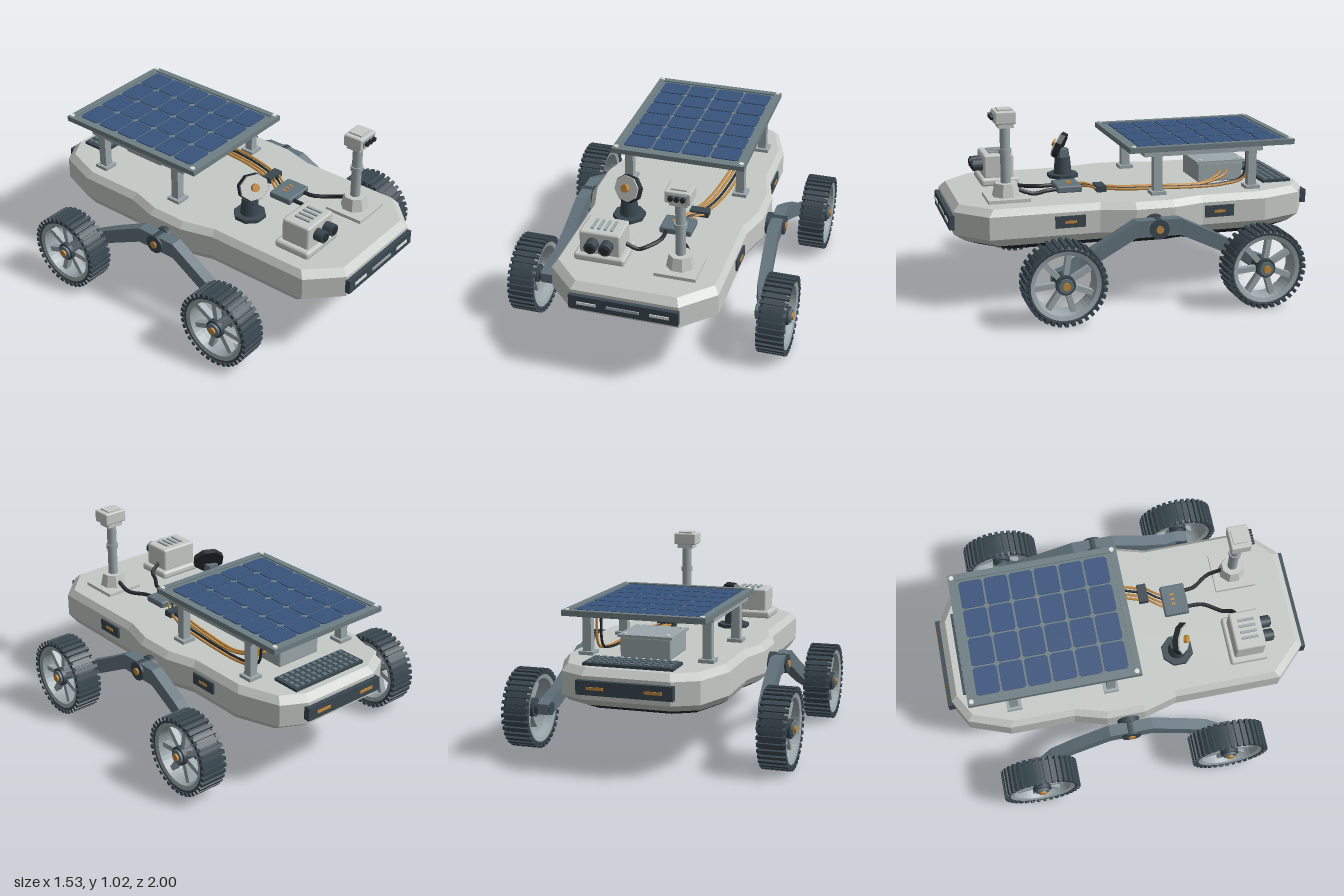
import * as THREE from 'three';
import { RoundedBoxGeometry } from 'three/addons/geometries/RoundedBoxGeometry.js';

const paint = (name, color, extra = {}) => Object.assign(new THREE.MeshStandardMaterial({ color, ...extra }), { name });
const M = {
  hull: paint('warm grey shell', 0xc6cac6),
  metal: paint('pale metal', 0x9ca8ac),
  slate: paint('slate arm', 0x62737c),
  frame: paint('panel frame grey', 0x6e7e83),
  dark: paint('dark slate', 0x3a4850),
  black: paint('near black', 0x252b2f),
  blue: paint('solar blue', 0x38537c),
  orange: paint('copper orange', 0xc48a3c),
  light: paint('lamp white', 0xdde2de),
};

const V = (x, y, z) => new THREE.Vector3(x, y, z);
function add(parent, name, geo, mat, x = 0, y = 0, z = 0) {
  const m = new THREE.Mesh(geo, mat);
  m.name = name;
  m.position.set(x, y, z);
  parent.add(m);
  return m;
}
function group(parent, name, x = 0, y = 0, z = 0) {
  const g = new THREE.Group();
  g.name = name;
  g.position.set(x, y, z);
  parent.add(g);
  return g;
}
// Box from minimum and maximum corners
function span(parent, name, mat, [x0, x1], [y0, y1], [z0, z1], r = 0) {
  const s = [x1 - x0, y1 - y0, z1 - z0];
  const geo = r ? new RoundedBoxGeometry(...s, 1, r) : new THREE.BoxGeometry(...s);
  return add(parent, name, geo, mat, (x0 + x1) / 2, (y0 + y1) / 2, (z0 + z1) / 2);
}
function cyl(r0, r1, h, n = 20, axis = 'y') {
  const g = new THREE.CylinderGeometry(r0, r1, h, n);
  if (axis === 'x') g.rotateZ(-Math.PI / 2);
  if (axis === 'z') g.rotateX(Math.PI / 2);
  return n > 8 ? g : facet(g);
}
function facet(g) {
  const f = g.toNonIndexed();
  f.computeVertexNormals();
  return f;
}
// Flat faceted skin through equal-length rings, with optional end caps
function loft(rings, capStart = true, capEnd = true) {
  const pts = [], n = rings[0].length;
  for (let i = 0; i + 1 < rings.length; i++) for (let j = 0; j < n; j++) {
    const k = (j + 1) % n, a = rings[i][j], b = rings[i][k], c = rings[i + 1][k], d = rings[i + 1][j];
    pts.push(a, b, c, a, c, d);
  }
  const cap = (ring, flip) => {
    const mid = ring.reduce((s, p) => s.add(p), V(0, 0, 0)).divideScalar(n);
    ring.forEach((p, j) => { const q = ring[(j + 1) % n]; pts.push(mid, flip ? q : p, flip ? p : q); });
  };
  if (capStart) cap(rings[0], true);
  if (capEnd) cap(rings[rings.length - 1], false);
  const g = new THREE.BufferGeometry().setFromPoints(pts);
  g.computeVertexNormals();
  return g;
}
function cable(parent, name, mat, r, pts) {
  const curve = new THREE.CatmullRomCurve3(pts.map(p => V(...p)));
  add(parent, name, new THREE.TubeGeometry(curve, 32, r, 7), mat);
}

function buildHull(root) {
  const g = group(root, 'hull');
  const half = [[.28, .97], [.44, .81], [.44, .23], [.49, .05], [.49, -.16], [.44, -.33], [.44, -.68], [.36, -.9], [.23, -.97]];
  const outline = [...half, ...half.map(([x, z]) => [-x, z]).reverse()];
  const ring = (y, sx, sz) => outline.map(([x, z]) => V(x * sx, y, z * sz));
  const low = ring(.345, .95, .94);
  add(g, 'shell', loft([low, ring(.385, 1, 1), ring(.505, 1, 1), ring(.54, .94, .965)], false, true), M.hull);
  add(g, 'belly', loft([ring(.312, .83, .86), low], true, false), M.black);
  // Bumpers with lamps
  span(g, 'frontBumper', M.dark, [-.285, .285], [.41, .487], [.96, .993]);
  [[-.24, -.14, M.light], [-.085, .085, M.metal], [.14, .24, M.light]].forEach(([a, b, m]) =>
    span(g, 'frontLamp', m, [a, b], [.441, .456], [.992, .998]));
  span(g, 'rearBumper', M.dark, [-.25, .25], [.415, .487], [-.995, -.96]);
  for (const x of [-.15, .15]) span(g, 'rearLamp', M.orange, [x - .045, x + .045], [.443, .458], [-1, -.994]);
  // Side markers on the left flank
  for (const z of [.39, -.42]) {
    span(g, 'sideMarker', M.dark, [.43, .451], [.425, .487], [z - .08, z + .08]);
    span(g, 'sideLamp', M.orange, [.45, .455], [.449, .463], [z - .03, z + .03]);
  }
  // Rear vent grille
  span(g, 'ventPlate', M.dark, [-.22, .25], [.538, .555], [-.9, -.74]);
  for (let r = 0; r < 4; r++) for (let c = 0; c < 12; c++)
    add(g, 'ventFin', new THREE.BoxGeometry(.022, .008, .022), M.slate, -.192 + c * .038, .558, -.877 + r * .038);
}

function buildWheel(root, s, z) {
  const g = group(root, 'wheel', s * .68, .212, z);
  const lathe = pts => new THREE.LatheGeometry(pts.map(p => new THREE.Vector2(...p)), 40).rotateZ(-Math.PI / 2);
  add(g, 'tyre', facet(lathe([[.174, -.066], [.19, -.07], [.2, -.055], [.2, .055], [.19, .07], [.174, .066], [.174, -.066]])), M.dark);
  add(g, 'rim', facet(lathe([[.158, -.062], [.18, -.068], [.18, .068], [.158, .062], [.15, .02], [.15, -.02], [.158, -.062]])), M.metal);
  for (let i = 0; i < 36; i++) {
    const a = i / 36 * Math.PI * 2;
    add(g, 'tread', new THREE.BoxGeometry(.148, .02, .019), M.dark, 0, Math.cos(a) * .202, Math.sin(a) * .202).rotation.x = a;
  }
  for (let i = 0; i < 7; i++) {
    const a = i / 7 * Math.PI * 2 - .15;
    add(g, 'spoke', new THREE.BoxGeometry(.035, .12, .028), M.metal, s * .02, Math.cos(a) * .1, Math.sin(a) * .1).rotation.x = a;
  }
  add(g, 'hub', cyl(.05, .05, .09, 20, 'x'), M.dark, s * .015);
  add(g, 'hubRing', cyl(.037, .037, .02, 20, 'x'), M.slate, s * .062);
  add(g, 'hubCap', cyl(.02, .02, .02, 12, 'x'), M.orange, s * .073);
  add(g, 'axle', cyl(.035, .035, .12, 16, 'x'), M.dark, s * -.06);
}

function buildSuspension(root, s) {
  const g = group(root, s > 0 ? 'leftSuspension' : 'rightSuspension');
  // Rocker arm: x, y, z, half height
  const path = [[.597, .212, .525, .028], [.597, .222, .455, .042], [.572, .262, .385, .042], [.56, .33, .25, .042], [.55, .425, .075, .044],
    [.55, .425, -.16, .044], [.56, .33, -.36, .042], [.572, .262, -.49, .042], [.597, .222, -.55, .042], [.597, .212, -.61, .028]];
  add(g, 'rockerArm', loft(path.map(([x, y, z, h]) =>
    [[-.032, -h], [-.032, h], [.032, h], [.032, -h]].map(([a, b]) => V(s * x + a, y + b, z)))), M.slate);
  add(g, 'pivotFlange', cyl(.06, .06, .05, 20, 'x'), M.dark, s * .497, .42, -.045);
  add(g, 'pivotCap', cyl(.052, .052, .1, 20, 'x'), M.dark, s * .543, .42, -.045);
  add(g, 'pivotBolt', cyl(.02, .02, .02, 12, 'x'), M.orange, s * .591, .42, -.045);
  for (const z of [.485, -.575]) buildWheel(g, s, z);
}

function buildSolarPanel(root) {
  const g = group(root, 'solarPanel');
  span(g, 'panelBack', M.black, [-.36, .36], [.773, .779], [-.855, .04]);
  span(g, 'panelBed', M.frame, [-.365, .365], [.778, .797], [-.86, .045]);
  for (const s of [-1, 1]) {
    add(g, 'sideRim', new THREE.BoxGeometry(.035, .028, .92), M.frame, s * .355, .79, -.408);
    add(g, 'endRim', new THREE.BoxGeometry(.74, .028, .035), M.frame, 0, .79, -.408 + s * .443);
    span(g, 'rail', M.metal, [s * .32 - .04, s * .32 + .04], [.75, .774], [-.69, -.03]);
    for (const z of [-.11, -.64]) {
      span(g, 'post', M.metal, [s * .32 - .023, s * .32 + .023], [.55, .752], [z - .023, z + .023]);
      span(g, 'postFoot', M.metal, [s * .32 - .04, s * .32 + .04], [.538, .558], [z - .04, z + .04]);
    }
    for (const z of [-.848, .027]) add(g, 'cornerBolt', cyl(.013, .013, .008, 10), M.light, s * .352, .807, z);
  }
  // Cells with clipped corners
  const w = .077, d = .063, c = .012;
  const shape = new THREE.Shape([[w, -d + c], [w, d - c], [w - c, d], [-w + c, d], [-w, d - c], [-w, -d + c], [-w + c, -d], [w - c, -d]]
    .map(p => new THREE.Vector2(...p)));
  const cell = new THREE.ExtrudeGeometry(shape, { depth: .005, bevelEnabled: false }).rotateX(-Math.PI / 2);
  for (let i = 0; i < 4; i++) for (let j = 0; j < 6; j++)
    add(g, 'solarCell', cell, M.blue, (i - 1.5) * .164, .797, -.413 + (j - 2.5) * .136);
}

function buildMast(root) {
  const g = group(root, 'mast', .207, 0, .68);
  span(g, 'mastPlate', M.hull, [-.108, .108], [.538, .558], [-.11, .11]);
  add(g, 'mastBase', cyl(.06, .075, .07, 8).rotateY(Math.PI / 8), M.hull, 0, .592, 0);
  add(g, 'mastTube', cyl(.027, .027, .32, 16), M.metal, 0, .78, 0);
  add(g, 'mastCollar', cyl(.034, .034, .025, 16), M.metal, 0, .795, 0);
  span(g, 'headNeck', M.hull, [-.047, .047], [.922, .95], [-.04, .04]);
  span(g, 'cameraHead', M.hull, [-.067, .067], [.945, 1.012], [-.05, .06], .008);
  span(g, 'headCap', M.hull, [-.04, .04], [1.01, 1.02], [-.035, .04]);
  span(g, 'headFace', M.metal, [-.05, .05], [.962, 1], [.058, .065]);
  for (const x of [-.031, 0, .031]) add(g, 'headLens', cyl(.013, .013, .02, 14, 'z'), M.black, x, .981, .07);
}

function buildInstrument(root) {
  const g = group(root, 'instrumentBox');
  span(g, 'instrumentBase', M.hull, [-.338, -.066], [.538, .582], [.555, .765], .015);
  span(g, 'instrumentBody', M.hull, [-.31, -.092], [.575, .708], [.58, .745], .012);
  for (let i = 0; i < 4; i++) span(g, 'topRib', M.metal, [-.257 + i * .034, -.243 + i * .034], [.7, .716], [.62, .71]);
  for (const x of [-.235, -.157]) {
    add(g, 'lensBarrel', cyl(.033, .033, .06, 16, 'z'), M.dark, x, .645, .768);
    add(g, 'lensGlass', cyl(.022, .022, .008, 16, 'z'), M.black, x, .645, .801);
  }
}

function buildAntenna(root) {
  const g = group(root, 'antenna', -.195, 0, .285);
  add(g, 'antennaBase', cyl(.088, .088, .022, 8).rotateY(Math.PI / 8), M.dark, 0, .549, 0);
  add(g, 'turret', cyl(.042, .052, .1, 16), M.dark, 0, .605, 0);
  span(g, 'yoke', M.slate, [-.03, .03], [.62, .7], [-.03, .02]);
  const dish = group(g, 'dish', 0, .725, .025);
  dish.rotation.set(-.4, -.45, 0, 'YXZ');
  const plate = (h) => cyl(.088, .088, h, 8).rotateY(Math.PI / 8).rotateX(Math.PI / 2).scale(1, .85, 1);
  add(dish, 'dishBack', plate(.03), M.black, 0, 0, -.012);
  add(dish, 'dishFace', plate(.009).scale(.94, .94, 1), M.hull, 0, 0, .007);
  add(dish, 'dishFeed', cyl(.022, .022, .024, 12, 'z'), M.orange, 0, 0, .018);
}

function buildElectronics(root) {
  const g = group(root, 'electronics');
  span(g, 'junctionBox', M.slate, [.006, .18], [.538, .575], [.262, .398], .008);
  for (const x of [.065, .093, .121]) add(g, 'junctionLight', new THREE.BoxGeometry(.012, .006, .022), M.orange, x, .576, .32);
  span(g, 'connector', M.dark, [.112, .216], [.538, .572], [.138, .19]);
  span(g, 'batteryBox', M.metal, [-.13, .14], [.538, .645], [-.66, -.4], .008);
  span(g, 'batteryLid', M.metal, [-.14, .15], [.643, .657], [-.67, -.39]);
  for (const x of [-.11, .12]) for (const z of [-.64, -.42]) add(g, 'lidBolt', cyl(.01, .01, .008, 8), M.light, x, .66, z);
  // Wiring loom: connector to the battery and the panel
  for (let i = 0; i < 4; i++) {
    const x = .13 + i * .023, m = i % 2 ? M.orange : i ? M.black : M.orange;
    cable(g, 'shortLead', m, .006, [[.06 + i * .024, .56, .27], [.085 + i * .023, .565, .23], [x, .555, .18]]);
    const tail = i < 2
      ? [[.2 + i * .02, .552, -.4], [.18, .585, -.5 - i * .04], [.13, .6, -.53 - i * .04]]
      : [[.25 + (i - 2) * .024, .555, -.5], [.25 + (i - 2) * .024, .59, -.62], [.25 + (i - 2) * .024, .77, -.64]];
    cable(g, 'longLead', m, .007, [[x, .555, .15], [x + .035, .553, .04], [x + .06, .553, -.12], ...tail]);
  }
  cable(g, 'instrumentCable', M.black, .011, [[.045, .555, .39], [.04, .552, .48], [-.02, .552, .58], [-.04, .575, .63], [-.1, .61, .645]]);
  cable(g, 'mastCable', M.black, .011, [[.14, .555, .39], [.15, .552, .45], [.205, .556, .54], [.21, .59, .63]]);
}

export function createModel() {
  const root = new THREE.Group();
  root.name = 'rover';
  buildHull(root);
  for (const s of [-1, 1]) buildSuspension(root, s);
  buildSolarPanel(root);
  buildMast(root);
  buildInstrument(root);
  buildAntenna(root);
  buildElectronics(root);
  return root;
}
